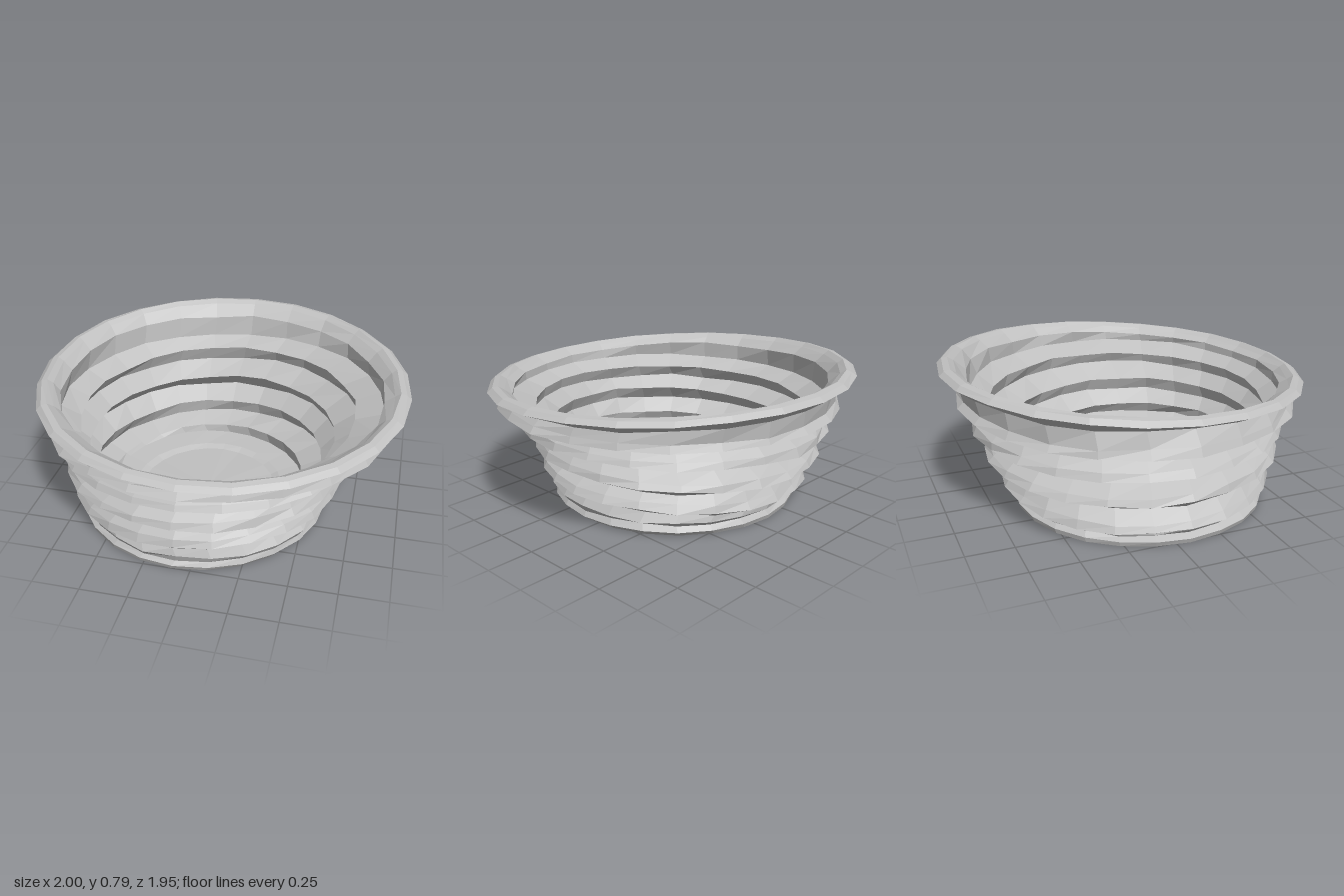
import * as THREE from 'three';

// each ring: [height, rise toward +x, rise toward +z, centre x, centre z, radius x, radius z]
const foot = [
  [0.03, 0, 0, -0.07, 0.07, 0, 0],
  [0.03, 0, 0, -0.07, 0.07, 0.38, 0.39],
  [0.01, 0, 0, -0.08, 0.07, 0.42, 0.43],
  [0.01, 0, 0, -0.1, 0.07, 0.67, 0.68],
  [0.035, 0, 0, -0.09, 0.07, 0.69, 0.69],
];
const base = [
  [0.06, 0.005, 0, -0.08, 0.075, 0.66, 0.67],
  [0.085, 0.015, 0.01, -0.07, 0.07, 0.685, 0.69],
];
// folds alternate between groove and ridge
const folds = [
  [0.12, 0.035, 0.015, -0.09, 0.06, 0.67, 0.68],
  [0.17, 0.045, 0.02, -0.075, 0.055, 0.75, 0.74],
  [0.24, 0.035, 0.015, -0.07, 0.055, 0.67, 0.685],
  [0.32, 0.03, 0.015, -0.07, 0.035, 0.795, 0.8],
  [0.395, 0.03, 0.01, -0.05, 0.05, 0.71, 0.715],
  [0.465, 0.035, 0.01, -0.035, 0.02, 0.86, 0.845],
  [0.535, 0.03, 0, -0.02, 0.025, 0.785, 0.785],
  [0.59, 0.025, 0, -0.005, 0.02, 0.95, 0.91],
];
const neck = [0.67, 0.005, -0.03, 0, 0.01, 0.905, 0.885];
const rim = [
  [0.715, 0, -0.05, 0, 0, 1.0, 0.975],
  [0.738, 0, -0.05, 0, 0, 0.97, 0.95],
  [0.745, 0, -0.05, 0, 0, 0.94, 0.92],
  [0.725, 0, -0.05, 0, 0, 0.91, 0.89],
];
const floor = [
  [0.075, 0, 0, -0.07, 0.05, 0.54, 0.54],
  [0.065, 0, 0, -0.07, 0.07, 0.42, 0.43],
  [0.05, 0, 0, -0.07, 0.07, 0.38, 0.39],
  [0.05, 0, 0, -0.07, 0.07, 0, 0],
];

// ridges get a blunt edge: a tip with a shoulder just above it
const outer = folds.flatMap((ring, i) => {
  if (i % 2 === 0) return [ring];
  const [y, tx, tz, cx, cz, rx, rz] = ring;
  return [[y - 0.012, ...ring.slice(1)], [y + 0.024, tx, tz, cx, cz, rx - 0.02, rz - 0.02]];
});

// the lining follows the folds further in, thicker at the ridges and the bottom
const lining = [...folds, neck].map(([y, tx, tz, cx, cz, rx, rz], i) => {
  const t = i === 0 ? 0.13 : i % 2 ? 0.075 : 0.04;
  return [y + 0.015, tx, tz, cx, cz, rx - t, rz - t];
}).reverse();

const SIDES = 24;

function seeded(seed) {
  return () => {
    seed = (seed * 16807) % 2147483647;
    return seed / 2147483647 - 0.5;
  };
}

// turn a ring into points, slightly uneven like hand-shaped clay
function ringPoints(ring, rough, rand) {
  const [y, tx, tz, cx, cz, rx, rz] = ring;
  const points = [];
  for (let j = 0; j < SIDES; j++) {
    const a = (j / SIDES) * Math.PI * 2;
    const c = Math.cos(a), s = Math.sin(a);
    const k = 1 + rand() * rough;
    const lift = rx > 0 ? rand() * rough * 0.7 : 0;
    points.push(new THREE.Vector3(cx + rx * k * c, y + tx * c + tz * s + lift, cz + rz * k * s));
  }
  return points;
}

// flat-shaded skin between successive rings
function skin(rows) {
  const positions = [];
  const add = (a, b, c) => {
    if (a.equals(b) || b.equals(c) || c.equals(a)) return;
    for (const p of [a, b, c]) positions.push(p.x, p.y, p.z);
  };
  for (let i = 0; i + 1 < rows.length; i++) {
    for (let j = 0; j < SIDES; j++) {
      const n = (j + 1) % SIDES;
      const a = rows[i][j], b = rows[i][n], c = rows[i + 1][j], d = rows[i + 1][n];
      add(a, c, b);
      add(b, c, d);
    }
  }
  const geometry = new THREE.BufferGeometry();
  geometry.setAttribute('position', new THREE.Float32BufferAttribute(positions, 3));
  geometry.computeVertexNormals();
  return geometry;
}

export function createModel() {
  const group = new THREE.Group();
  group.name = 'foldedBowl';
  const clay = new THREE.MeshStandardMaterial({ color: 0xc0c0c0, flatShading: true });
  clay.name = 'pale grey';

  const rand = seeded(71);
  const toPoints = (rings, rough) => rings.map((r) => ringPoints(r, rough, rand));
  const footRows = toPoints(foot, 0.004);
  const outerRows = toPoints([...base, ...outer, neck], 0.02);
  const rimRows = toPoints(rim, 0.006);
  const liningRows = toPoints(lining, 0.02);
  const floorRows = toPoints(floor, 0.006);

  const parts = {
    foot: footRows,
    outerWall: [footRows.at(-1), ...outerRows, rimRows[0]],
    rim: rimRows,
    innerWall: [rimRows.at(-1), ...liningRows, floorRows[0]],
    floor: floorRows,
  };
  for (const [name, rows] of Object.entries(parts)) {
    const mesh = new THREE.Mesh(skin(rows), clay);
    mesh.name = name;
    group.add(mesh);
  }
  return group;
}
